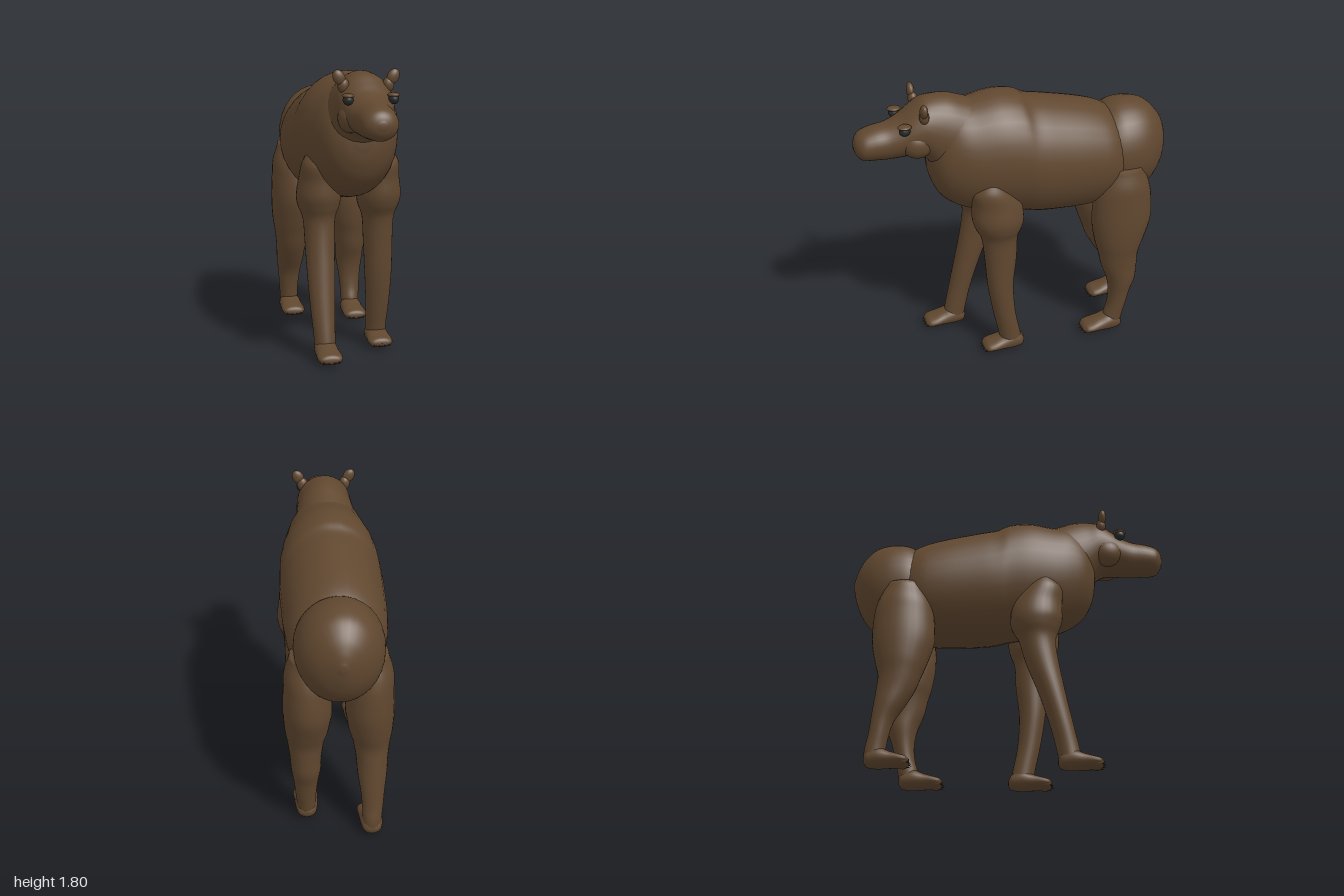
import * as THREE from 'three';

const mat = (name, color) => {
  const m = new THREE.MeshStandardMaterial({ color });
  m.name = name;
  return m;
};

// Smooth closed skin through elliptical sections along an axis.
// axis 'z': [z, centreX, centreY, radiusX, radiusY]; axis 'y': [y, centreX, centreZ, radiusX, radiusZ]
function loft(axis, sections, sides = 32, steps = 5) {
  const path = new THREE.CatmullRomCurve3(
    sections.map(s => new THREE.Vector3(s[0], s[1], s[2])), false, 'catmullrom', 0.5);
  const size = new THREE.SplineCurve(sections.map(s => new THREE.Vector2(s[3], s[4])));
  const rings = [];
  const n = (sections.length - 1) * steps;
  for (let i = 0; i <= n; i++) rings.push([path.getPoint(i / n), size.getPoint(i / n)]);
  const tip = new THREE.Vector2(0.0005, 0.0005);
  rings.unshift([rings[0][0], tip]);
  rings.push([rings[rings.length - 1][0], tip]);

  const pos = [], idx = [];
  for (const [p, r] of rings) {
    for (let j = 0; j < sides; j++) {
      const a = (j / sides) * Math.PI * 2, c = Math.cos(a), s = Math.sin(a);
      if (axis === 'z') pos.push(p.y + c * r.x, p.z + s * r.y, p.x);
      else pos.push(p.y + s * r.x, p.x, p.z + c * r.y);
    }
  }
  const rising = sections[sections.length - 1][0] > sections[0][0];
  for (let i = 0; i < rings.length - 1; i++) {
    for (let j = 0; j < sides; j++) {
      const a = i * sides + j, b = i * sides + (j + 1) % sides, c = a + sides, d = b + sides;
      if (rising) idx.push(a, b, c, b, d, c);
      else idx.push(a, c, b, b, c, d);
    }
  }
  const g = new THREE.BufferGeometry();
  g.setAttribute('position', new THREE.Float32BufferAttribute(pos, 3));
  g.setIndex(idx);
  g.computeVertexNormals();
  return g;
}

// Body profile rows [z, top, bottom, halfWidth] turned into sections
const profile = rows => rows.map(([z, top, bottom, w]) => [z, 0, (top + bottom) / 2, w, (top - bottom) / 2]);

export function createModel() {
  const model = new THREE.Group();
  const fur = mat('brown fur', 0x60472f);
  const eyeDark = mat('dark eye', 0x262b28);
  const clawDark = mat('dark claw', 0x2b2119);

  const add = (name, geometry, material, parent = model) => {
    const m = new THREE.Mesh(geometry, material);
    m.name = name;
    parent.add(m);
    return m;
  };
  const ball = (name, material, p, s, parent) => {
    const m = add(name, new THREE.SphereGeometry(1, 24, 16), material, parent);
    m.position.set(...p);
    m.scale.set(...s);
    return m;
  };

  // Trunk, rump, neck with head
  add('torso', loft('z', profile([
    [-0.75, 1.45, 1.05, 0.18], [-0.6, 1.56, 0.95, 0.28], [-0.45, 1.62, 0.91, 0.31],
    [-0.2, 1.68, 0.915, 0.32], [-0.08, 1.705, 0.93, 0.32], [0, 1.745, 0.95, 0.315],
    [0.13, 1.76, 0.97, 0.305], [0.28, 1.735, 1.0, 0.28], [0.4, 1.72, 1.05, 0.245],
    [0.49, 1.64, 1.13, 0.195], [0.54, 1.52, 1.24, 0.12], [0.555, 1.42, 1.33, 0.04],
  ])), fur);
  add('rump', loft('z', profile([
    [-1, 1.335, 1.29, 0.02], [-0.98, 1.4, 1.2, 0.07], [-0.94, 1.475, 1.1, 0.15],
    [-0.87, 1.55, 1.01, 0.22], [-0.79, 1.583, 0.97, 0.256], [-0.7, 1.59, 0.96, 0.268],
    [-0.62, 1.57, 0.97, 0.262], [-0.52, 1.5, 1.02, 0.23], [-0.45, 1.4, 1.1, 0.18],
  ])), fur);
  add('neckAndHead', loft('z', profile([
    [0.2, 1.71, 1.25, 0.2], [0.32, 1.75, 1.2, 0.205], [0.42, 1.785, 1.22, 0.195],
    [0.51, 1.79, 1.31, 0.18], [0.58, 1.778, 1.4, 0.172], [0.65, 1.73, 1.428, 0.16],
    [0.72, 1.68, 1.425, 0.142], [0.8, 1.648, 1.42, 0.122], [0.88, 1.635, 1.425, 0.115],
    [0.95, 1.613, 1.432, 0.102], [0.985, 1.58, 1.465, 0.065], [1, 1.54, 1.505, 0.02],
  ])), fur);

  for (const side of [1, -1]) {
    const label = side > 0 ? 'left' : 'right';

    // Ears, cheeks, eyes and lids
    ball(label + 'Ear', fur, [side * 0.162, 1.762, 0.602], [0.036, 0.048, 0.024], model).rotation.z = -side * 0.5;
    ball(label + 'EarBase', fur, [side * 0.135, 1.715, 0.595], [0.035, 0.045, 0.03], model);
    ball(label + 'Cheek', fur, [side * 0.1, 1.53, 0.63], [0.075, 0.09, 0.1], model);
    ball(label + 'Eye', eyeDark, [side * 0.135, 1.643, 0.715], [0.031, 0.031, 0.034], model);
    ball(label + 'Eyelid', fur, [side * 0.135, 1.667, 0.715], [0.036, 0.014, 0.042], model);

    // Stride: the right front leg reaches forward, the right hind leg trails
    const f = side > 0 ? 0 : 1;
    add(label + 'FrontLeg', loft('y', [
      [0.05, side * 0.195, 0.08 + f * 0.285, 0.065, 0.07],
      [0.15, side * 0.195, 0.1 + f * 0.245, 0.067, 0.07],
      [0.3, side * 0.197, 0.13 + f * 0.18, 0.075, 0.072],
      [0.5, side * 0.195, 0.152 + f * 0.105, 0.086, 0.083],
      [0.7, side * 0.192, 0.15 + f * 0.05, 0.092, 0.102],
      [0.85, side * 0.19, 0.155 + f * 0.015, 0.1, 0.115],
      [0.93, side * 0.19, 0.16, 0.128, 0.148],
      [1.0, side * 0.192, 0.165, 0.138, 0.163],
      [1.1, side * 0.192, 0.175, 0.125, 0.152],
      [1.2, side * 0.2, 0.21, 0.105, 0.12],
      [1.28, side * 0.2, 0.21, 0.07, 0.06],
    ], 28), fur);
    add(label + 'HindLeg', loft('y', [
      [0.05, side * 0.195, -0.615 - f * 0.195, 0.058, 0.06],
      [0.12, side * 0.197, -0.625 - f * 0.18, 0.06, 0.064],
      [0.2, side * 0.2, -0.645 - f * 0.145, 0.065, 0.062],
      [0.3, side * 0.2, -0.66 - f * 0.11, 0.075, 0.07],
      [0.4, side * 0.2, -0.668 - f * 0.065, 0.09, 0.095],
      [0.5, side * 0.2, -0.653 - f * 0.045, 0.098, 0.118],
      [0.6, side * 0.198, -0.645 - f * 0.03, 0.113, 0.133],
      [0.7, side * 0.192, -0.648 - f * 0.02, 0.135, 0.163],
      [0.84, side * 0.187, -0.66, 0.148, 0.194],
      [1.0, side * 0.192, -0.66, 0.138, 0.188],
      [1.1, side * 0.2, -0.66, 0.123, 0.165],
      [1.22, side * 0.2, -0.66, 0.09, 0.12],
    ], 28), fur);

    // Paws with four claws each
    const heels = { FrontPaw: f * 0.288, HindPaw: -0.68 - f * 0.19 };
    for (const [part, heel] of Object.entries(heels)) {
      const paw = new THREE.Group();
      paw.name = label + part;
      paw.position.set(side * 0.195, 0, heel);
      model.add(paw);
      add('pawPad', loft('z', profile([
        [0, 0.07, 0.04, 0.025], [0.02, 0.105, 0.014, 0.055], [0.08, 0.135, 0.004, 0.07],
        [0.15, 0.11, 0.01, 0.073], [0.21, 0.09, 0.016, 0.078], [0.25, 0.078, 0.018, 0.07],
        [0.27, 0.06, 0.03, 0.045],
      ]), 24), fur, paw);
      for (let i = 0; i < 4; i++) {
        const x = (i - 1.5) * 0.033;
        ball('toe', fur, [x, 0.042, 0.245 - Math.abs(i - 1.5) * 0.008], [0.018, 0.022, 0.03], paw);
        const claw = add('claw', new THREE.ConeGeometry(0.009, 0.036, 8), clawDark, paw);
        claw.position.set(x, 0.032, 0.274 - Math.abs(i - 1.5) * 0.008);
        claw.rotation.x = Math.PI / 2 + 0.35;
      }
    }
  }
  return model;
}
